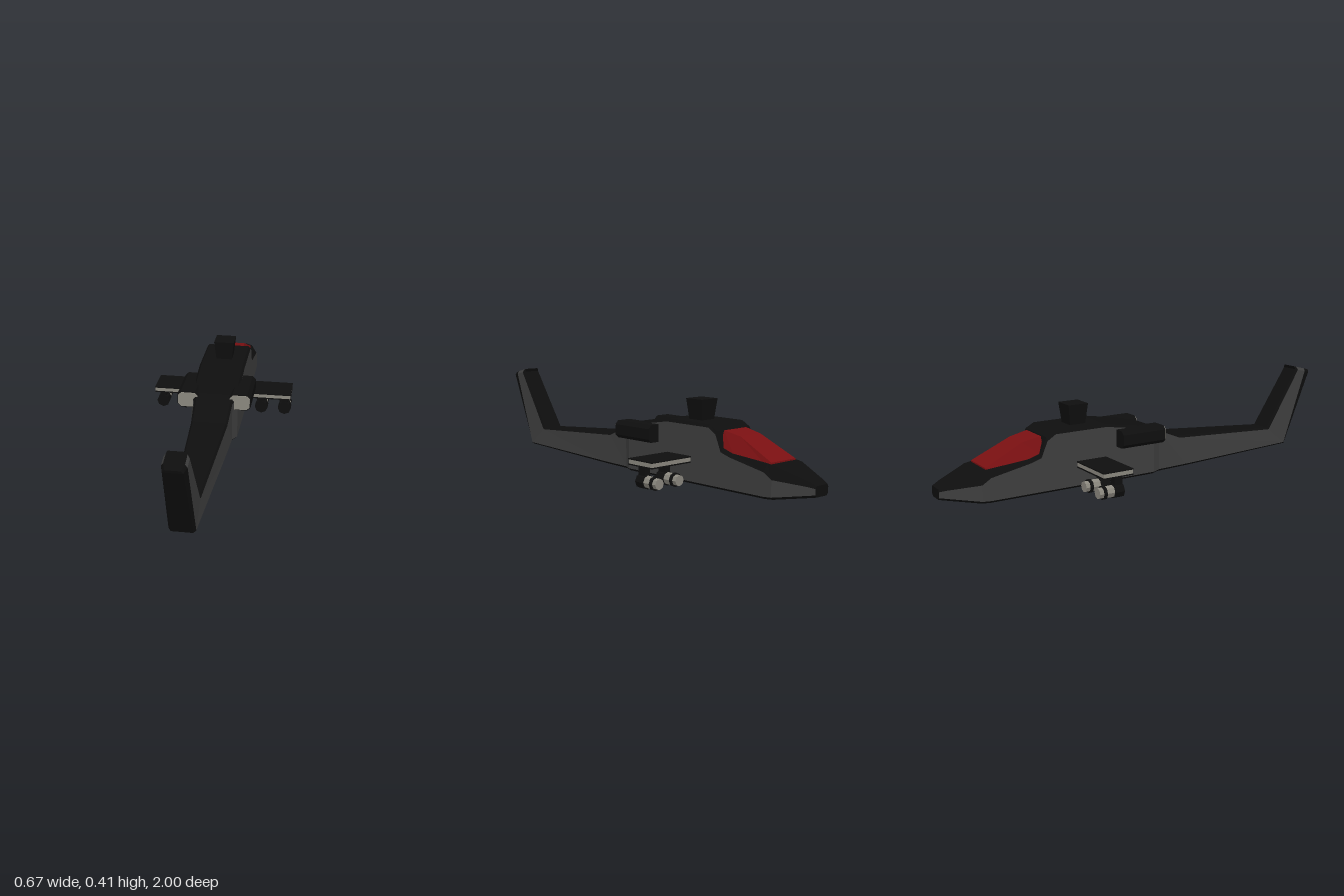
import * as THREE from 'three';

const mat = (name, color) => {
  const m = new THREE.MeshStandardMaterial({ color, flatShading: true });
  m.name = name;
  return m;
};

// Skins a list of equal rings (each anticlockwise seen from +z), with end caps.
// materialIndex(i) picks the material group of strip i; caps use group 0.
function loft(rings, materialIndex = () => 0) {
  const groups = [[], []];
  const tri = (g, ...pts) => pts.forEach((p) => groups[g].push(...p));
  const n = rings[0].length;
  for (let s = 0; s < rings.length - 1; s++) {
    const a = rings[s], b = rings[s + 1];
    for (let i = 0; i < n; i++) {
      const j = (i + 1) % n, g = materialIndex(i);
      tri(g, a[i], a[j], b[j]);
      tri(g, a[i], b[j], b[i]);
    }
  }
  const first = rings[0], last = rings[rings.length - 1];
  for (let i = 1; i < n - 1; i++) {
    tri(0, first[0], first[i + 1], first[i]);
    tri(0, last[0], last[i], last[i + 1]);
  }
  const geo = new THREE.BufferGeometry();
  geo.setAttribute('position', new THREE.Float32BufferAttribute(groups.flat(), 3));
  geo.addGroup(0, groups[0].length / 3, 0);
  geo.addGroup(groups[0].length / 3, groups[1].length / 3, 1);
  geo.computeVertexNormals();
  return geo;
}

// Rectangle with cut corners
function chamferedRect(w, h, c) {
  const x = w / 2, y = h / 2;
  return new THREE.Shape([
    [x - c, -y], [x, -y + c], [x, y - c], [x - c, y],
    [-x + c, y], [-x, y - c], [-x, -y + c], [-x + c, -y],
  ].map(([px, py]) => new THREE.Vector2(px, py)));
}

export function createModel() {
  const model = new THREE.Group();
  const black = mat('black', 0x0e0e0e);
  const gray = mat('dark gray', 0x3e3e3e);
  const light = mat('light gray', 0x8a877e);
  const red = mat('canopy red', 0x7a1012);

  const add = (name, geo, material, x = 0, y = 0, z = 0, parent = model) => {
    const mesh = new THREE.Mesh(geo, material);
    mesh.name = name;
    mesh.position.set(x, y, z);
    parent.add(mesh);
    return mesh;
  };
  const box = (w, h, d) => new THREE.BoxGeometry(w, h, d);

  // Fuselage, boom and fin: top z, top y, bottom z, bottom y, half width,
  // top bevel drop, top bevel inset, bottom bevel rise
  const stations = [
    [-1.0, 0.08, -1.0, 0.035, 0.04, 0.01, 0.005, 0.01],
    [-0.97, 0.095, -0.97, 0.03, 0.053, 0.02, 0.012, 0.01],
    [-0.84, 0.14, -0.84, 0.01, 0.11, 0.05, 0.03, 0.01],
    [-0.80, 0.145, -0.80, 0.007, 0.11, 0.03, 0.025, 0.01],
    [-0.62, 0.165, -0.62, 0.007, 0.11, 0.015, 0.015, 0.01],
    [-0.57, 0.18, -0.57, 0.007, 0.11, 0.015, 0.012, 0.01],
    [-0.54, 0.25, -0.54, 0.007, 0.11, 0.015, 0.01, 0.01],
    [-0.50, 0.272, -0.50, 0.007, 0.11, 0.012, 0.01, 0.01],
    [-0.25, 0.272, -0.25, 0.007, 0.11, 0.012, 0.01, 0.01],
    [0.0, 0.23, 0.0, 0.007, 0.108, 0.012, 0.01, 0.01],
    [0.04, 0.213, 0.04, 0.008, 0.089, 0.012, 0.01, 0.01],
    [0.16, 0.16, 0.2, 0.01, 0.083, 0.01, 0.008, 0.01],
    [0.72, 0.12, 0.84, 0.025, 0.055, 0.012, 0.007, 0.012],
    [0.905, 0.4, 0.997, 0.378, 0.049, 0.012, 0.007, 0.035],
    [0.9, 0.415, 1.0, 0.39, 0.04, 0.012, 0.004, 0.035],
  ];
  const bodyRings = stations.map(([zt, yt, zb, yb, w, drop, inset, rise]) => {
    const len = Math.hypot(zt - zb, yt - yb);
    const at = (t, x) => [x, yb + (yt - yb) * t, zb + (zt - zb) * t];
    const lo = rise / len, hi = 1 - drop / len;
    const right = [at(0, w - 0.01), at(lo, w), at(hi, w), at(1, w - inset)];
    const left = right.map(([x, y, z]) => [-x, y, z]).reverse();
    return [...right, ...left];
  });
  add('fuselage', loft(bodyRings, (i) => (i === 1 || i === 5 ? 1 : 0)), [black, gray]);

  // Canopy: z, top y, bottom y, top half width, bottom half width
  const canopyRings = [
    [-0.81, 0.15, 0.12, 0.075, 0.083],
    [-0.635, 0.233, 0.15, 0.062, 0.097],
    [-0.55, 0.25, 0.16, 0.068, 0.099],
  ].map(([z, yt, yb, wt, wb]) => [[wb, yb, z], [wt, yt, z], [-wt, yt, z], [-wb, yb, z]]);
  add('canopy', loft(canopyRings), red);

  // Rotor mast, wider at the top
  const mast = new THREE.CylinderGeometry(0.068, 0.052, 0.1, 4);
  mast.rotateY(Math.PI / 4);
  add('rotorMast', mast, black, 0, 0.312, -0.355);

  // Stub wing: pale core between dark skins
  add('wingCore', box(0.67, 0.018, 0.14), light, 0, 0.113, -0.328);
  for (const y of [0.1015, 0.1245])
    add('wingSkin', box(0.674, 0.005, 0.146), black, 0, y, -0.328);

  // Rings of each pod: material, radius, rear z, front z
  const podParts = [
    [black, 0.032, -0.298, -0.343],
    [light, 0.027, -0.343, -0.38],
    [black, 0.031, -0.38, -0.393],
    [light, 0.024, -0.393, -0.413],
  ];

  for (const side of [-1, 1]) {
    // Engine with pale exhaust face
    const engine = new THREE.ExtrudeGeometry(chamferedRect(0.1, 0.078, 0.016),
      { depth: 0.22, bevelEnabled: false });
    add('engine', engine, black, side * 0.121, 0.203, -0.2);
    const exhaust = new THREE.ExtrudeGeometry(chamferedRect(0.092, 0.068, 0.014),
      { depth: 0.006, bevelEnabled: false });
    add('engineExhaust', exhaust, light, side * 0.121, 0.203, 0.02);

    // Underwing pods on pylons
    for (const x of [0.19, 0.305]) {
      const pod = new THREE.Group();
      pod.name = 'wingPod';
      pod.position.set(side * x, 0.034, 0);
      model.add(pod);
      add('pylon', box(0.03, 0.07, 0.04), black, 0, 0.034, -0.32, pod);
      for (const [material, r, z0, z1] of podParts) {
        const ring = new THREE.CylinderGeometry(r, r, z0 - z1, 8);
        ring.rotateX(Math.PI / 2);
        add('podSection', ring, material, 0, 0, (z0 + z1) / 2, pod);
      }
    }
  }
  return model;
}
